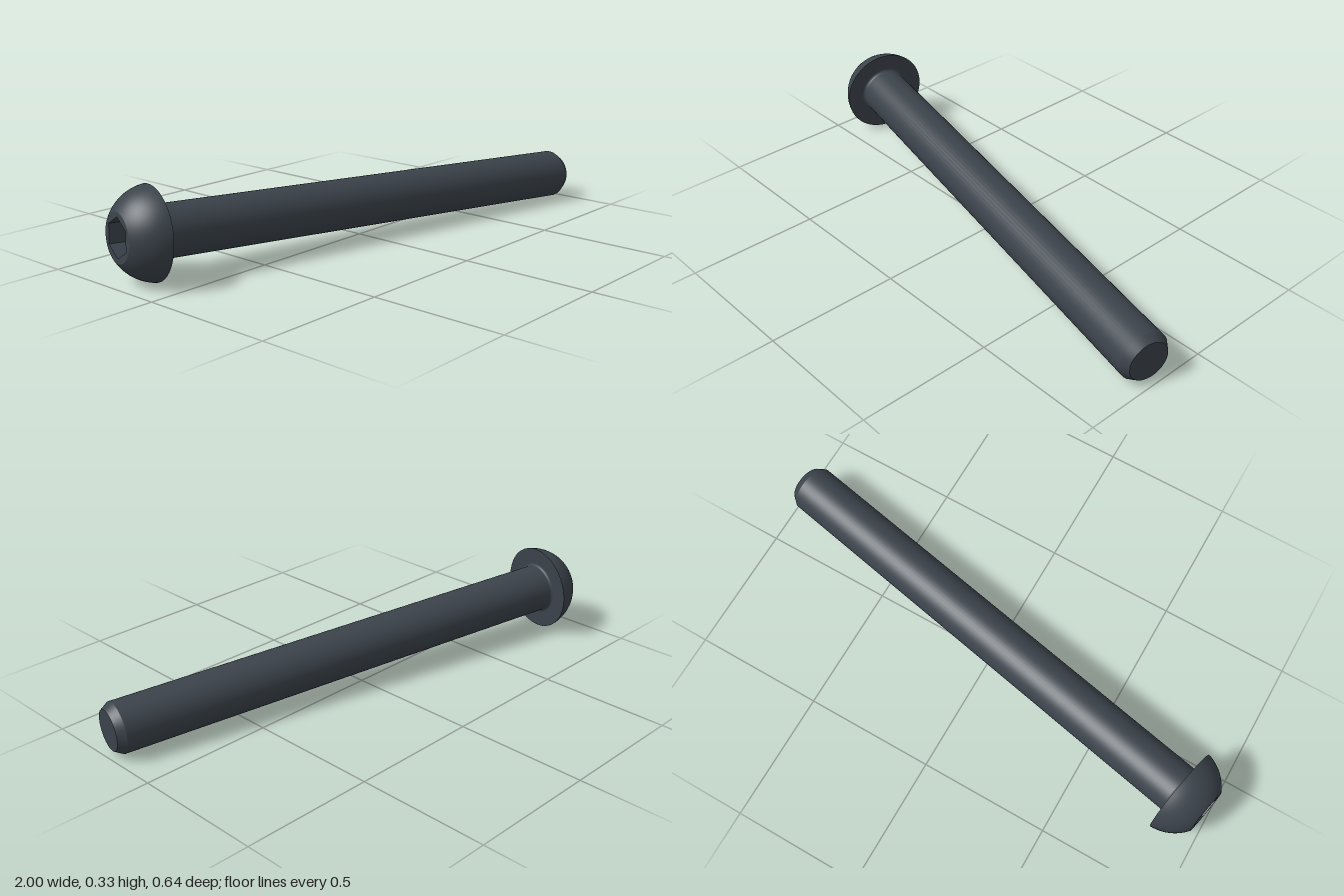
import * as THREE from 'three';

const SEG = 48;
const HEAD_R = 0.166, TOP_R = 0.087, HEAD_H = 0.118;
const SHAFT_R = 0.0935, TIP_R = 0.075, LENGTH = 1.89, CHAMFER = 0.03;
const HEX_R = 0.071, HEX_DEPTH = 0.065;

export function createModel() {
  const steel = new THREE.MeshStandardMaterial({ color: 0x3b434b });
  steel.name = 'dark steel';

  const bolt = new THREE.Group();
  bolt.name = 'bolt';
  const add = (name, geometry) => {
    const mesh = new THREE.Mesh(geometry, steel);
    mesh.name = name;
    bolt.add(mesh);
  };
  // Each turned surface is its own lathe, so the edges between them stay sharp
  const turn = (name, points) =>
    add(name, new THREE.LatheGeometry(points.map(([r, y]) => new THREE.Vector2(r, y)), SEG));

  // Domed head: a slice of a sphere centred on the bolt axis
  const c = (HEAD_R ** 2 - TOP_R ** 2 - HEAD_H ** 2) / (-2 * HEAD_H);
  const sphereR = Math.hypot(HEAD_R, c);
  const a0 = Math.atan2(-HEAD_H - Math.abs(c), TOP_R);
  const a1 = Math.atan2(-Math.abs(c), HEAD_R);
  const dome = [];
  for (let i = 0; i <= 12; i++) {
    const a = a0 + (a1 - a0) * i / 12;
    dome.push([sphereR * Math.cos(a), Math.abs(c) + sphereR * Math.sin(a)]);
  }
  turn('headDome', dome);
  turn('headUnderside', [[HEAD_R, 0], [SHAFT_R + 0.01, 0]]);

  // Flat head top with a hexagonal opening
  const top = new THREE.Shape().absarc(0, 0, TOP_R, 0, Math.PI * 2);
  const hex = [];
  for (let i = 0; i < 6; i++) {
    const a = Math.PI / 2 + i * Math.PI / 3;
    hex.push(new THREE.Vector2(HEX_R * Math.cos(a), HEX_R * Math.sin(a)));
  }
  top.holes.push(new THREE.Path(hex));
  add('headTop', new THREE.ShapeGeometry(top, SEG / 2)
    .rotateX(Math.PI / 2).translate(0, -HEAD_H, 0));

  // Hex socket: inward-facing walls and a floor
  const walls = new THREE.CylinderGeometry(HEX_R, HEX_R, HEX_DEPTH, 6, 1, true)
    .toNonIndexed().scale(-1, 1, 1).translate(0, HEX_DEPTH / 2 - HEAD_H, 0);
  // Mirroring reverses the winding, so the recomputed normals point inward
  walls.computeVertexNormals();
  add('socketWalls', walls);
  add('socketFloor', new THREE.CircleGeometry(HEX_R, 6, Math.PI / 2)
    .rotateX(Math.PI / 2).translate(0, HEX_DEPTH - HEAD_H, 0));

  // Shaft with a small fillet under the head and a chamfered tip
  const fillet = [];
  for (let i = 0; i <= 4; i++) {
    const a = i / 4 * Math.PI / 2;
    fillet.push([SHAFT_R + 0.01 * (1 - Math.sin(a)), 0.01 * (1 - Math.cos(a))]);
  }
  turn('shaftFillet', fillet);
  turn('shaft', [[SHAFT_R, 0.01], [SHAFT_R, LENGTH - CHAMFER]]);
  turn('tipChamfer', [[SHAFT_R, LENGTH - CHAMFER], [TIP_R, LENGTH]]);
  turn('tipFace', [[TIP_R, LENGTH], [0, LENGTH]]);

  // Lay the bolt on its head rim and tip, slightly turned
  const axis = new THREE.Vector3(1, -0.038, 0.213).normalize();
  const up = new THREE.Vector3(0, 1, 0).addScaledVector(axis, -axis.y).normalize();
  const side = new THREE.Vector3().crossVectors(axis, up);
  bolt.quaternion.setFromRotationMatrix(new THREE.Matrix4().makeBasis(side, axis, up));
  bolt.position.set(-0.865, 0.166, -0.161);

  const model = new THREE.Group();
  model.name = 'buttonHeadBolt';
  model.add(bolt);
  return model;
}
